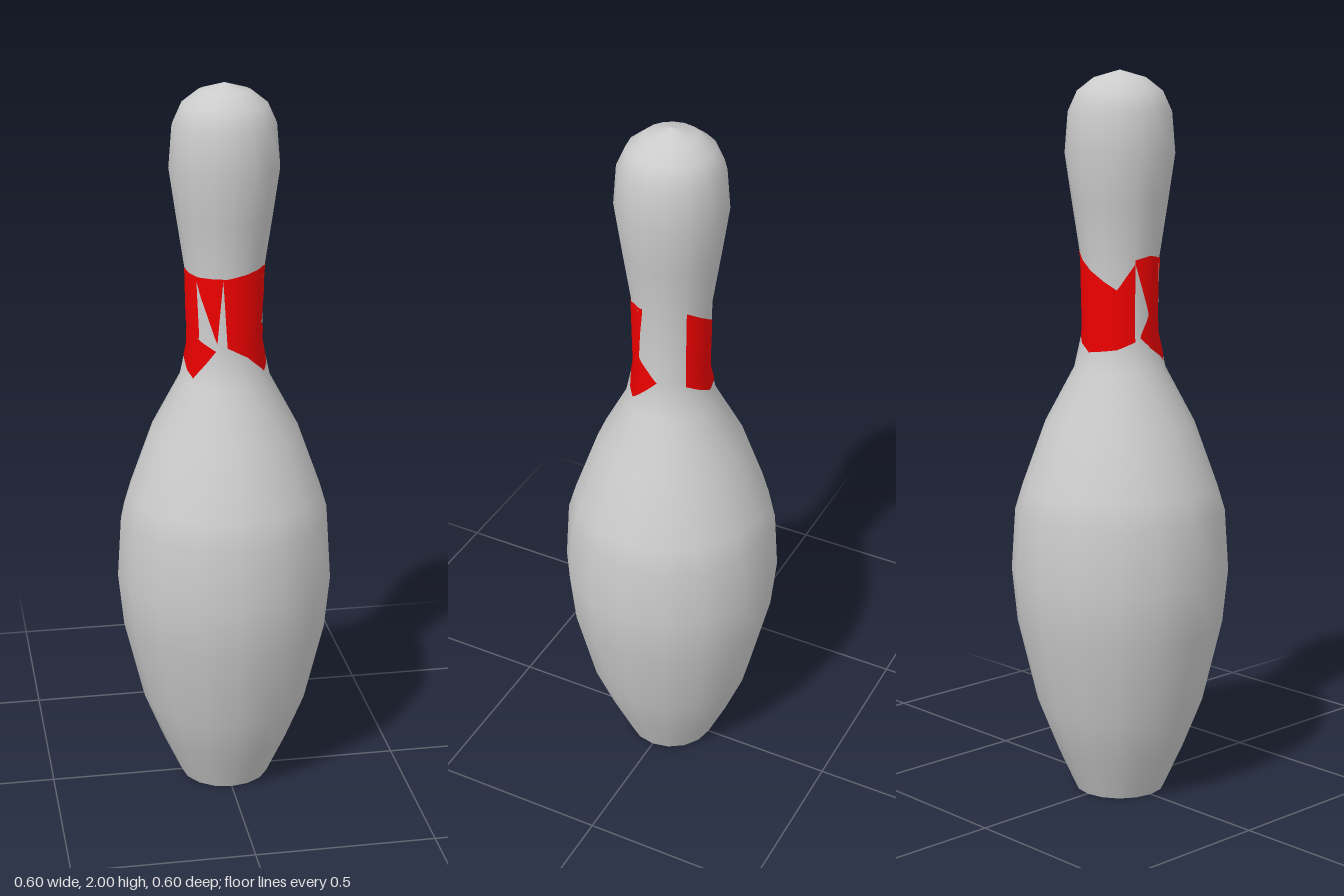
import * as THREE from 'three';

const SIDES = 16;
const STEP = (Math.PI * 2) / SIDES;

// Outline as [radius, height], from the foot to the crown
const PROFILE = [
  [0.125, 0], [0.18, 0.12], [0.232, 0.25], [0.287, 0.48], [0.302, 0.63], [0.291, 0.8],
  [0.27, 0.87], [0.205, 1.05], [0.125, 1.2], [0.103, 1.3], [0.107, 1.5],
  [0.13, 1.65], [0.149, 1.78], [0.14, 1.89], [0.115, 1.945], [0.07, 1.98], [0, 2],
];

// Red patches as columns of [angle from the front, low edge, high edge]
const PATCHES = {
  frontPatch: [[-11, 1.49, 1.5], [-5, 1.31, 1.5], [25, 1.28, 1.51], [55, 1.23, 1.52], [62, 1.24, 1.52]],
  frontPatchUpperTip: [[62, 1.36, 1.52], [73, 1.52, 1.52]],
  frontPatchLowerTip: [[62, 1.24, 1.36], [95, 1.3, 1.3]],
  backPatch: [[138, 1.29, 1.52], [180, 1.25, 1.47], [222, 1.26, 1.42], [249, 1.28, 1.49]],
  sidePatchUpper: [[249, 1.49, 1.5], [274, 1.35, 1.51], [306, 1.33, 1.5], [310, 1.33, 1.34]],
  sidePatchLower: [[258, 1.29, 1.29], [274, 1.26, 1.35], [306, 1.22, 1.33], [338, 1.3, 1.3]],
  sidePatchTriangle: [[306, 1.49, 1.5], [340, 1.32, 1.5], [349, 1.5, 1.5]],
};

// Distance from the axis to the faceted body surface
function surfaceRadius(angle, y) {
  const i = Math.max(1, PROFILE.findIndex((p) => p[1] >= y));
  const [r0, y0] = PROFILE[i - 1];
  const [r1, y1] = PROFILE[i];
  const r = THREE.MathUtils.lerp(r0, r1, (y - y0) / (y1 - y0));
  const local = THREE.MathUtils.euclideanModulo(angle, STEP) - STEP / 2;
  return (r * Math.cos(STEP / 2)) / Math.cos(local);
}

// Wrap a sheet around the neck between the low and high edges of its columns
function patchGeometry(columns) {
  const spans = columns.length - 1;
  const geometry = new THREE.PlaneGeometry(1, 1, spans * 8, 10);
  const { position, normal } = geometry.attributes;
  for (let i = 0; i < position.count; i++) {
    const u = (position.getX(i) + 0.5) * spans;
    const v = position.getY(i) + 0.5;
    const k = Math.min(Math.floor(u), spans - 1);
    const [deg, low, high] = columns[k].map((a, j) => THREE.MathUtils.lerp(a, columns[k + 1][j], u - k));
    const angle = THREE.MathUtils.degToRad(deg);
    const y = THREE.MathUtils.lerp(low, high, v);
    const r = surfaceRadius(angle, y) + 0.002;
    position.setXYZ(i, r * Math.sin(angle), y, r * Math.cos(angle));
    normal.setXYZ(i, Math.sin(angle), 0, Math.cos(angle));
  }
  return geometry;
}

export function createModel() {
  const model = new THREE.Group();
  model.name = 'bowlingPin';
  const grey = new THREE.MeshStandardMaterial({ color: 0xcccccc });
  const red = new THREE.MeshStandardMaterial({ color: 0xee0000 });

  function add(name, geometry, material, parent = model) {
    const mesh = new THREE.Mesh(geometry, material);
    mesh.name = name;
    parent.add(mesh);
    return mesh;
  }

  // Turned body
  const points = PROFILE.map(([r, y]) => new THREE.Vector2(r, y));
  add('body', new THREE.LatheGeometry(points, SIDES), grey);

  // Flat foot
  add('base', new THREE.CircleGeometry(PROFILE[0][0], SIDES).rotateX(Math.PI / 2), grey);

  // Broken red band around the neck
  const band = new THREE.Group();
  band.name = 'neckBand';
  for (const [name, columns] of Object.entries(PATCHES)) add(name, patchGeometry(columns), red, band);
  model.add(band);

  return model;
}
